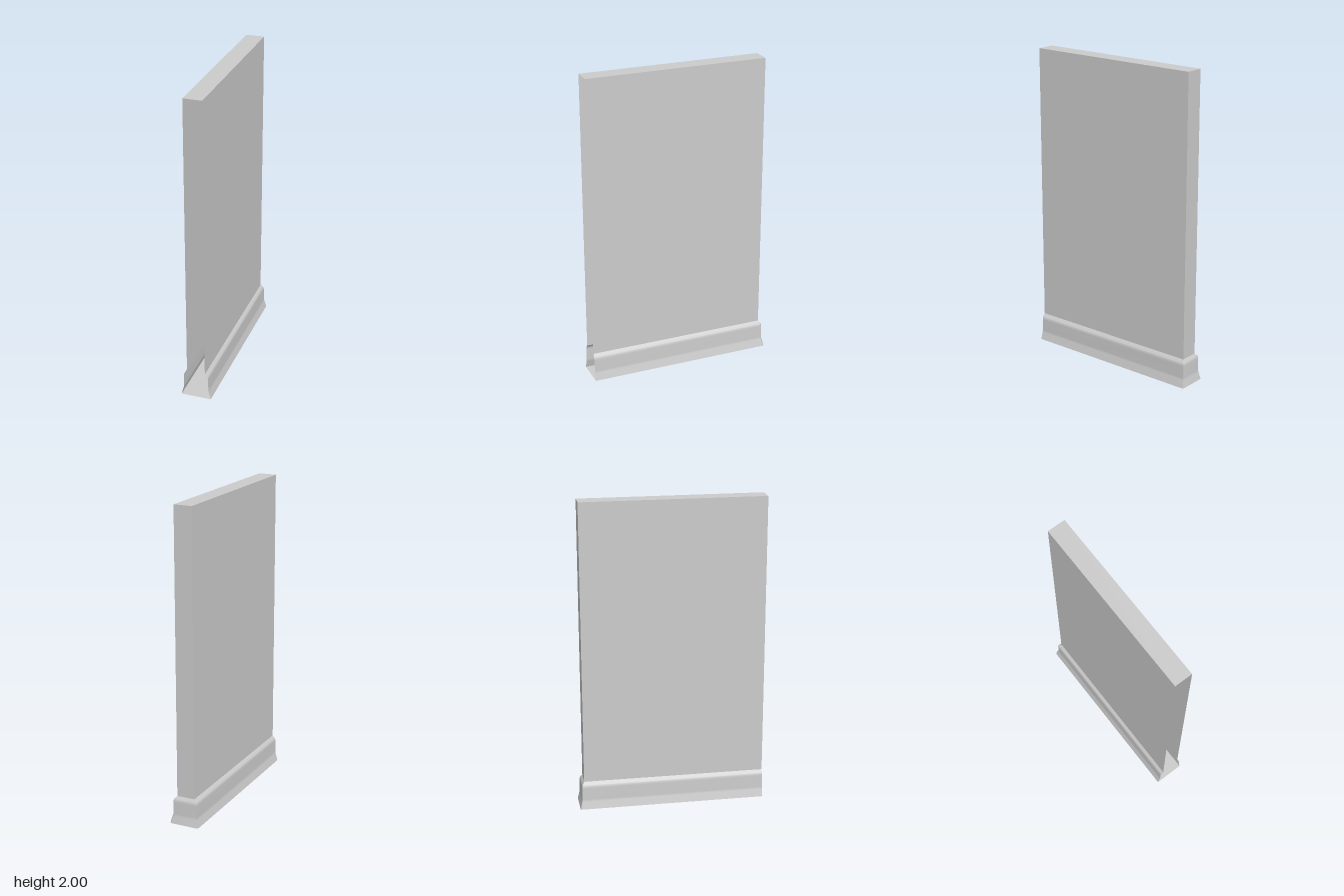
import * as THREE from 'three';

const HALF = 0.059;      // half thickness of the wall
const FRONT = 0.602;     // open front end
const BACK = -0.572;     // closed back of the wall
const BASE_TOP = 0.178;

// Baseboard profile from floor to wall: [height, spread 0..1]
const PROFILE = [
  [0, 1], [0.045, 0.68], [0.053, 0.62], [0.062, 0.59], [0.14, 0.55],
  [0.152, 0.51], [0.161, 0.41], [BASE_TOP, 0],
];

// U-shaped outline, open at the front, with slightly cut back corners
function outline(spread) {
  const x = HALF + 0.0385 * spread;
  const z = BACK - 0.03 * spread;
  const c = 0.008 * spread;
  return [[x, FRONT], [x, z + c], [x - c, z], [c - x, z], [-x, z + c], [-x, FRONT]];
}

function createBaseboard(material) {
  const positions = [], index = [];
  const n = 6;
  PROFILE.forEach(([y, spread], row) => {
    outline(spread).forEach(([x, z]) => positions.push(x, y, z));
    if (row === 0) return;
    for (let i = 0; i < n - 1; i++) {
      const a = (row - 1) * n + i, b = a + 1, c = a + n, d = c + 1;
      index.push(a, b, d, a, d, c);
    }
  });
  const geometry = new THREE.BufferGeometry();
  geometry.setAttribute('position', new THREE.Float32BufferAttribute(positions, 3));
  geometry.setIndex(index);
  geometry.computeVertexNormals();
  const mesh = new THREE.Mesh(geometry, material);
  mesh.name = 'baseboard';
  return mesh;
}

// Hollow wall: a box without its front and bottom faces
function createWall(material) {
  const height = 2 - BASE_TOP;
  const geometry = new THREE.BoxGeometry(2 * HALF, height, FRONT - BACK);
  const faces = Array.from(geometry.index.array);
  faces.splice(18, 12);
  geometry.setIndex(faces);
  geometry.clearGroups();
  geometry.translate(0, BASE_TOP + height / 2, (FRONT + BACK) / 2);
  const mesh = new THREE.Mesh(geometry, material);
  mesh.name = 'wall';
  return mesh;
}

// Flat underside, facing down
function createUnderside(material) {
  const shape = new THREE.Shape(outline(1).map(([x, z]) => new THREE.Vector2(x, z)));
  const geometry = new THREE.ShapeGeometry(shape).rotateX(Math.PI / 2);
  const mesh = new THREE.Mesh(geometry, material);
  mesh.name = 'underside';
  return mesh;
}

export function createModel() {
  const material = new THREE.MeshStandardMaterial({ color: 0xcccccc, side: THREE.DoubleSide });
  const group = new THREE.Group();
  group.name = 'wallSegment';
  group.add(createWall(material), createBaseboard(material), createUnderside(material));
  return group;
}
